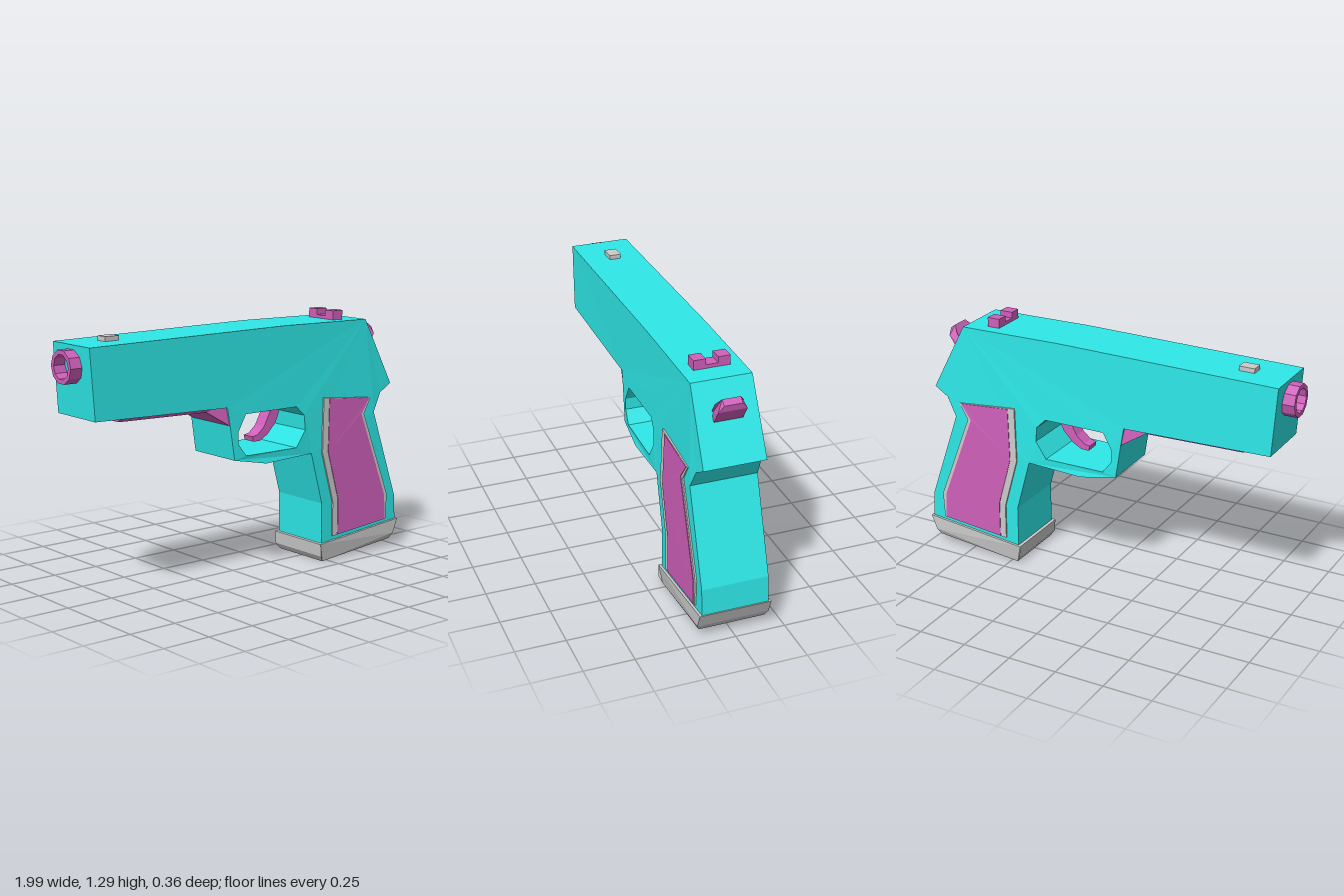
import * as THREE from 'three';

const CYAN = 0x2ee8e8, PINK = 0xd060bb, GREY = 0xcccccc;
const material = (color) => new THREE.MeshStandardMaterial({ color, flatShading: true });
const clamp = (v) => Math.min(1, Math.max(0, v));
const toVectors = (pts) => pts.map(([x, y]) => new THREE.Vector2(x, y));

// The centre plane drifts very slightly along the length
const centreZ = (x) => -0.007 + 0.006 * x;

// Side profile turned into a solid; half(x, y) gives the half thickness
function slab(name, color, pts, half, hole) {
  const shape = new THREE.Shape(toVectors(pts));
  if (hole) shape.holes.push(new THREE.Path(toVectors(hole)));
  const geo = new THREE.ExtrudeGeometry(shape, { depth: 1, bevelEnabled: false });
  const p = geo.attributes.position;
  for (let i = 0; i < p.count; i++) {
    const x = p.getX(i), y = p.getY(i);
    p.setZ(i, centreZ(x) + (p.getZ(i) > 0.5 ? 1 : -1) * half(x, y));
  }
  geo.computeVertexNormals();
  const mesh = new THREE.Mesh(geo, material(color));
  mesh.name = name;
  return mesh;
}

function box(name, color, [x0, x1], [y0, y1], [z0, z1]) {
  const mesh = new THREE.Mesh(new THREE.BoxGeometry(x1 - x0, y1 - y0, z1 - z0), material(color));
  mesh.position.set((x0 + x1) / 2, (y0 + y1) / 2, (z0 + z1) / 2);
  mesh.name = name;
  return mesh;
}

export function createModel() {
  const group = new THREE.Group();
  group.name = 'pistol';

  // Slide, frame, trigger guard and grip core, widening towards the grip
  group.add(slab('body', CYAN, [
    [-0.945, 1.24], [-0.922, 0.898], [-0.152, 0.877], [-0.137, 0.786], [-0.11, 0.61],
    [0.083, 0.572], [0.382, 0.583], [0.457, 0.31], [0.457, 0.09], [0.985, 0.145],
    [0.976, 0.283], [0.816, 0.749], [0.869, 0.845], [0.944, 0.888], [0.762, 1.238], [0.21, 1.248],
  ], (x, y) => 0.15 + 0.003 * clamp((1.24 - y) / 0.35) + 0.014 * clamp((0.9 - y) / 0.15) * clamp((x + 0.15) / 0.2), [
    [-0.04, 0.834], [0.286, 0.834], [0.334, 0.786], [0.339, 0.711],
    [0.281, 0.626], [-0.04, 0.626], [-0.088, 0.69], [-0.088, 0.749],
  ]));

  // Dust cover below the slide, narrower along its lower edge
  group.add(slab('dustCover', PINK, [
    [-0.775, 0.91], [-0.775, 0.877], [-0.26, 0.863], [-0.137, 0.786], [-0.12, 0.91],
  ], (x, y) => (y > 0.9 ? 0.145 : y < 0.8 ? 0.15 : 0.125)));

  // Curved trigger
  group.add(slab('trigger', PINK, [
    [0.217, 0.85], [0.217, 0.797], [0.179, 0.727], [0.136, 0.69], [0.104, 0.684], [0.11, 0.658],
    [0.152, 0.658], [0.2, 0.684], [0.254, 0.738], [0.281, 0.802], [0.286, 0.85],
  ], () => 0.035));

  // Grip panels: grey surround with an inlay, standing out on both sides
  group.add(slab('gripSurround', GREY, [
    [0.463, 0.861], [0.789, 0.829], [0.74, 0.749], [0.915, 0.294],
    [0.908, 0.16], [0.527, 0.126], [0.527, 0.31], [0.452, 0.578],
  ], (x, y) => 0.175 - 0.006 * clamp((y - 0.7) / 0.15)));
  group.add(slab('gripInlay', PINK, [
    [0.5, 0.853], [0.778, 0.829], [0.72, 0.749], [0.893, 0.294],
    [0.9, 0.163], [0.561, 0.132], [0.561, 0.32], [0.489, 0.578],
  ], (x, y) => 0.178 - 0.006 * clamp((y - 0.7) / 0.15)));

  // Magazine base with chamfered lower edges
  group.add(slab('magazineBase', GREY, [
    [0.441, 0.096], [0.446, 0.03], [0.466, 0], [0.944, 0.045], [0.961, 0.075], [0.992, 0.15],
  ], (x, y) => (y - (x - 0.45) * 0.1 < 0.012 ? 0.166 : 0.18)));

  // Hammer, chamfered at the tip
  group.add(slab('hammer', PINK, [
    [0.8, 1.075], [0.855, 1.075], [0.901, 1.144], [0.907, 1.176], [0.88, 1.197], [0.856, 1.165],
  ], (x, y) => (y > 1.17 ? 0.045 : 0.07)));

  // Hollow muzzle
  const ring = new THREE.Shape();
  const bore = new THREE.Path();
  ring.setFromPoints(new THREE.Path().absarc(0, 0, 0.082, 0, Math.PI * 2).getPoints(5));
  bore.setFromPoints(new THREE.Path().absarc(0, 0, 0.06, 0, Math.PI * 2).getPoints(5));
  ring.holes.push(bore);
  const muzzle = new THREE.Mesh(
    new THREE.ExtrudeGeometry(ring, { depth: 0.07, bevelEnabled: false }), material(PINK));
  muzzle.name = 'muzzle';
  muzzle.rotation.y = Math.PI / 2;
  muzzle.position.set(-1, 1.14, -0.016);
  group.add(muzzle);

  // Sights
  group.add(box('frontSight', GREY, [-0.775, -0.695], [1.23, 1.264], [-0.045, 0.015]));
  const rearSight = new THREE.Group();
  rearSight.name = 'rearSight';
  rearSight.add(box('rearSightBase', PINK, [0.587, 0.653], [1.23, 1.258], [-0.092, 0.088]));
  for (const z of [-0.092, 0.028]) {
    rearSight.add(box('rearSightPost', PINK, [0.587, 0.653], [1.23, 1.288], [z, z + 0.06]));
  }
  group.add(rearSight);
  return group;
}
